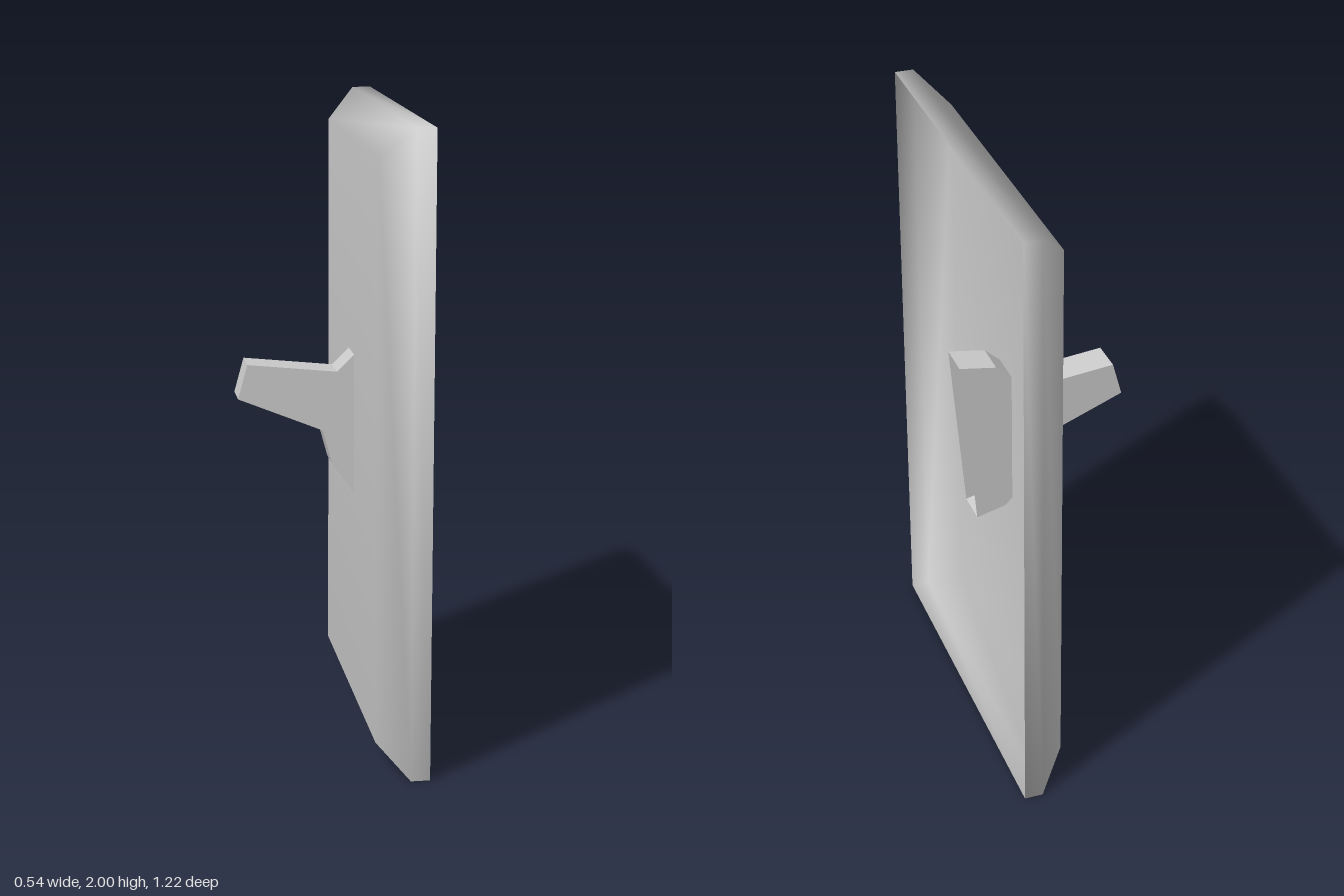
import * as THREE from 'three';

const lightGrey = new THREE.MeshStandardMaterial({ color: 0xcccccc, side: THREE.DoubleSide });
lightGrey.name = 'lightGrey';

function makeGeometry(positions, indices) {
  const g = new THREE.BufferGeometry();
  g.setAttribute('position', new THREE.Float32BufferAttribute(positions, 3));
  g.setIndex(indices);
  return g;
}

// Hollow cover plate: rectangular rings joined by a soft bevel and a short rim, open at +x
function coverPlate() {
  const rings = [ // x, half height, half depth
    [0.1, 0.905, 0.515],
    [0.195, 1, 0.61],
    [0.255, 1, 0.61],
  ];
  const positions = [], indices = [0, 1, 2, 0, 2, 3];
  for (const [x, h, d] of rings) {
    for (const [sy, sz] of [[-1, -1], [-1, 1], [1, 1], [1, -1]]) positions.push(x, 1 + sy * h, sz * d);
  }
  for (let r = 0; r < rings.length - 1; r++) {
    for (let i = 0; i < 4; i++) {
      const a = r * 4 + i, b = r * 4 + (i + 1) % 4;
      indices.push(a, a + 4, b, b, a + 4, b + 4);
    }
  }
  const g = makeGeometry(positions, indices);
  g.computeVertexNormals();
  return g;
}

// Toggle outline in x, y; the last edge (from the last point to the first) is the open back
const outline = [
  [0.27, 1.287], [0.15, 1.268], [0.1, 1.223], [0.045, 1.17], [-0.24, 1.2], [-0.27, 1.09],
  [0, 0.98], [0.03, 0.87], [0.1, 0.77], [0.125, 0.745], [0.22, 0.72],
].map(([x, y]) => new THREE.Vector2(x, y));
const zBack = -0.053, zFront = 0.06;

function toggleWalls() {
  const positions = [], indices = [];
  for (const p of outline) positions.push(p.x, p.y, zBack, p.x, p.y, zFront);
  for (let i = 0; i < outline.length - 1; i++) {
    const a = i * 2;
    indices.push(a, a + 2, a + 1, a + 1, a + 2, a + 3);
  }
  const g = makeGeometry(positions, indices).toNonIndexed();
  g.computeVertexNormals();
  return g;
}

export function createModel() {
  const model = new THREE.Group();
  model.name = 'wallSwitch';
  const add = (parent, name, geometry) => {
    const mesh = new THREE.Mesh(geometry, lightGrey);
    mesh.name = name;
    parent.add(mesh);
    return mesh;
  };

  add(model, 'coverPlate', coverPlate());

  // Lever passing through the plate
  const lever = new THREE.Group();
  lever.name = 'toggleLever';
  model.add(lever);
  add(lever, 'leverWalls', toggleWalls());
  const side = new THREE.ShapeGeometry(new THREE.Shape(outline));
  add(lever, 'leverLeftSide', side).position.z = zFront;
  // Far side, with its corners reversed to face -z
  const far = side.clone();
  const index = Array.from(far.index.array).reverse();
  far.setIndex(index);
  far.computeVertexNormals();
  add(lever, 'leverRightSide', far).position.z = zBack;

  return model;
}
